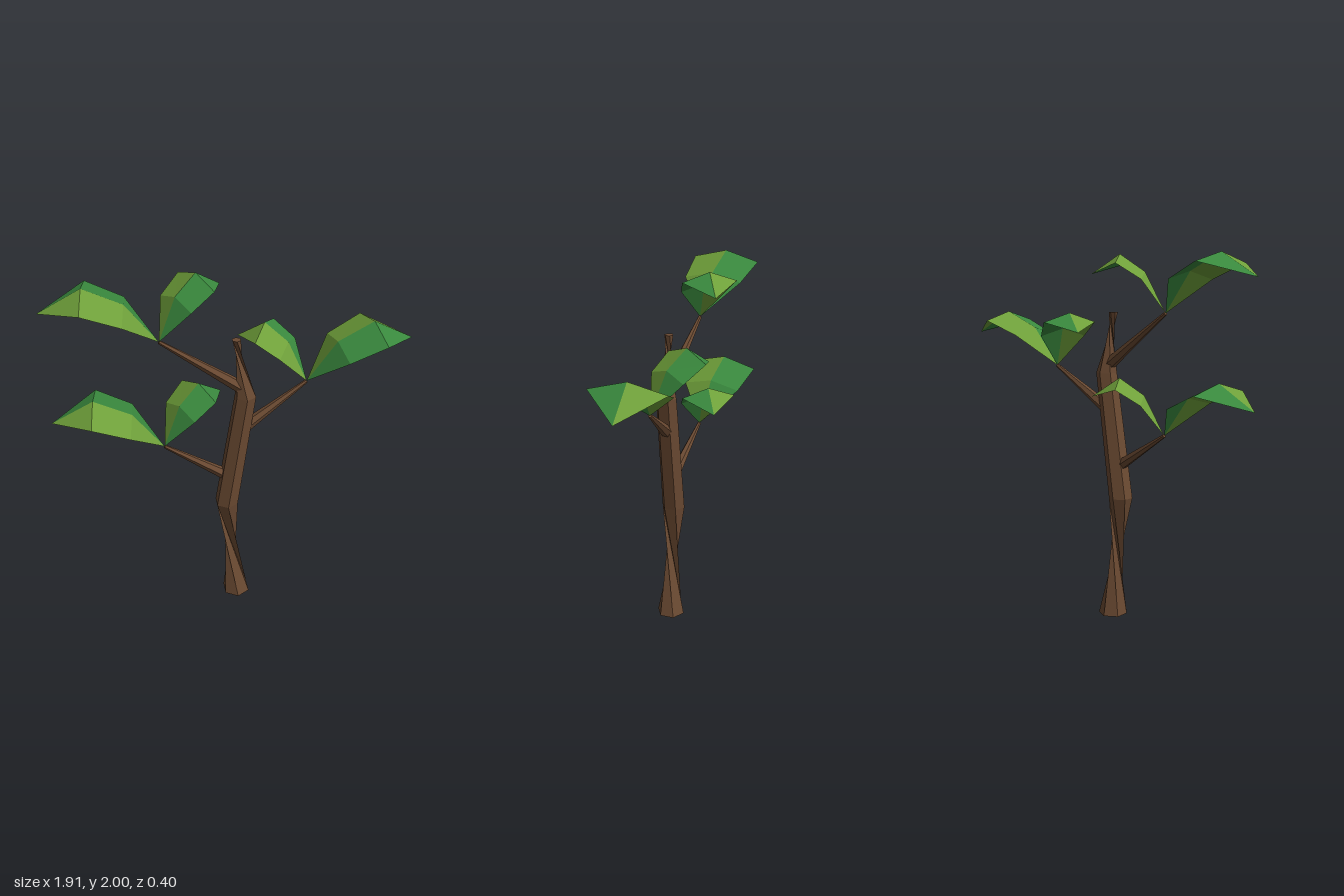
import * as THREE from 'three';

const paint = (color) =>
  new THREE.MeshStandardMaterial({ color, side: THREE.DoubleSide, flatShading: true });
const bark = paint(0x6b4a32);
const lightGreen = paint(0x6fa03a);
const darkGreen = paint(0x3a8a3e);

function trianglesToGeometry(triangles) {
  const geometry = new THREE.BufferGeometry().setFromPoints(triangles.flat());
  geometry.computeVertexNormals();
  return geometry;
}

// Six-sided trunk; each section may be twisted by whole sides against the one below,
// which folds the faces inwards into a narrow waist
function makeTrunk() {
  const sides = 6, z = 0.083;
  const sections = [
    { x: 0, y: 0, r: 0.08, twist: 0 },
    { x: -0.054, y: 0.68, r: 0.066, twist: -2 },
    { x: 0.048, y: 1.37, r: 0.058, twist: 0 },
    { x: 0, y: 1.7, r: 0.024, twist: -2 },
  ];
  const corner = (s, k) => {
    const a = (k / sides) * Math.PI * 2;
    return new THREE.Vector3(s.x + s.r * Math.sin(a), s.y, z + s.r * Math.cos(a));
  };
  const triangles = [];
  for (let i = 1; i < sections.length; i++) {
    const low = sections[i - 1], high = sections[i];
    for (let k = 0; k < sides; k++) {
      const a = corner(low, k), b = corner(low, k + 1);
      const c = corner(high, k + 1 + high.twist), d = corner(high, k + high.twist);
      triangles.push([a, b, d], [b, c, d]);
    }
  }
  // End caps
  const foot = sections[0], top = sections[sections.length - 1];
  for (let k = 0; k < sides; k++) {
    triangles.push([new THREE.Vector3(foot.x, foot.y, z), corner(foot, k + 1), corner(foot, k)]);
    triangles.push([new THREE.Vector3(top.x, top.y, z), corner(top, k), corner(top, k + 1)]);
  }
  const trunk = new THREE.Mesh(trianglesToGeometry(triangles), bark);
  trunk.name = 'trunk';
  return trunk;
}

// Tapered branch between two points
function makeBranch(from, to) {
  const direction = to.clone().sub(from);
  const branch = new THREE.Mesh(new THREE.CylinderGeometry(0.01, 0.034, direction.length(), 6), bark);
  branch.position.copy(from).add(to).multiplyScalar(0.5);
  branch.quaternion.setFromUnitVectors(new THREE.Vector3(0, 1, 0), direction.normalize());
  branch.name = 'branch';
  return branch;
}

// Half of an arched leaf growing along +x, on one side of its midrib
function makeLeafHalf(side, tipHeight) {
  const v = (x, y, z) => new THREE.Vector3(x, y, z * side);
  const base = v(0, 0, 0), rib1 = v(0.16, 0.21, 0), rib2 = v(0.355, 0.3, 0), tip = v(0.577, tipHeight, 0);
  const edge1 = v(0.165, 0.17, 0.168), edge2 = v(0.355, 0.25, 0.194);
  const triangles = [
    [base, edge1, rib1], [edge1, edge2, rib1], [edge2, rib2, rib1], [edge2, tip, rib2],
  ];
  if (side < 0) triangles.forEach((t) => t.reverse());
  return trianglesToGeometry(triangles);
}

function makeLeaf(name, position, turn, length, width, tipHeight) {
  const leaf = new THREE.Group();
  leaf.name = name;
  const left = new THREE.Mesh(makeLeafHalf(-1, tipHeight), lightGreen);
  const right = new THREE.Mesh(makeLeafHalf(1, tipHeight), darkGreen);
  left.name = 'leafLeftHalf';
  right.name = 'leafRightHalf';
  leaf.add(left, right);
  leaf.position.copy(position);
  leaf.rotation.y = turn;
  leaf.scale.set(length, 1, width);
  return leaf;
}

export function createModel() {
  const tree = new THREE.Group();
  tree.name = 'tree';
  tree.add(makeTrunk());

  // Each limb: branch from the trunk, then a large outer and a small inner leaf
  const limbs = [
    { name: 'lowerRightLimb', side: -1, x: -0.03, y: 0.85, tipY: 1.066 },
    { name: 'leftLimb', side: 1, x: 0.04, y: 1.17, tipY: 1.397 },
    { name: 'upperRightLimb', side: -1, x: 0.02, y: 1.425, tipY: 1.7 },
  ];
  for (const { name, side, x, y, tipY } of limbs) {
    const limb = new THREE.Group();
    limb.name = name;
    const tip = new THREE.Vector3(0.38 * side, tipY, 0.042);
    const outerTurn = side > 0 ? 0.1 : Math.PI - 0.1;
    const innerTurn = side > 0 ? Math.PI - 0.53 : 0.53;
    limb.add(
      makeBranch(new THREE.Vector3(x, y, 0.083), tip),
      makeLeaf('outerLeaf', tip, outerTurn, 1, 1, 0.175),
      makeLeaf('innerLeaf', tip, innerTurn, 0.67, 0.75, 0.198),
    );
    tree.add(limb);
  }
  return tree;
}
